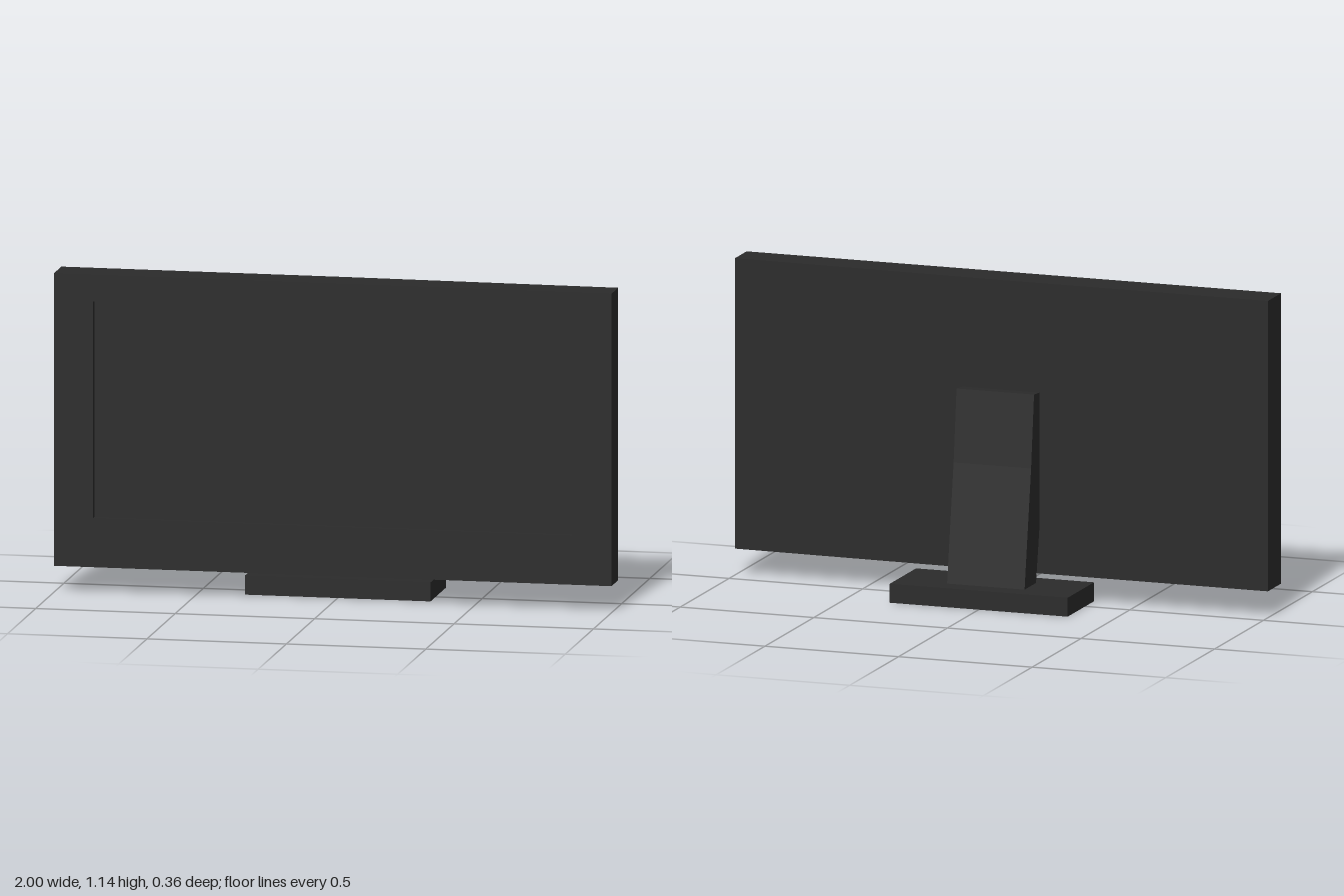
import * as THREE from 'three';

const material = new THREE.MeshStandardMaterial({ color: 0x2b2b2b, flatShading: true });

function part(name, geometry) {
  const mesh = new THREE.Mesh(geometry, material);
  mesh.name = name;
  return mesh;
}

function boxBetween(x, y0, y1, z0, z1, segments = 1) {
  return new THREE.BoxGeometry(2 * x, y1 - y0, z1 - z0, segments, 1, 1)
    .translate(0, (y0 + y1) / 2, (z0 + z1) / 2);
}

function rectangle(PathType, x, y0, y1) {
  return new PathType([[-x, y0], [x, y0], [x, y1], [-x, y1]].map(p => new THREE.Vector2(...p)));
}

export function createModel() {
  const model = new THREE.Group();
  model.name = 'monitor';

  const bottom = 0.095, top = 1.14, front = 0.18, back = 0.045, screenZ = 0.15;

  // Housing: its front is the recessed screen, its back thins a little toward +x
  const housing = boxBetween(1, bottom, top, back, screenZ, 4);
  const pos = housing.attributes.position;
  for (let i = 0; i < pos.count; i++) {
    if (pos.getZ(i) < 0.1) pos.setZ(i, back + 0.015 * Math.max(0, pos.getX(i)));
  }
  housing.computeVertexNormals();
  model.add(part('screenHousing', housing));

  // Bezel around the screen opening
  const outline = rectangle(THREE.Shape, 1, bottom, top);
  outline.holes.push(rectangle(THREE.Path, 0.86, 0.27, 1.045));
  const bezel = new THREE.ExtrudeGeometry(outline, { depth: front - screenZ, bevelEnabled: false });
  model.add(part('bezel', bezel.translate(0, 0, screenZ)));

  // Leaning neck, a side profile of [z, y] points extruded across x
  const halfNeck = 0.145;
  const profile = new THREE.Shape([
    [0.01, 0.065], [0.056, 0.32], [0.056, 0.745], [-0.01, 0.75], [-0.04, 0.49], [-0.107, 0.065],
  ].map(p => new THREE.Vector2(...p)));
  const neck = new THREE.ExtrudeGeometry(profile, { depth: 2 * halfNeck, bevelEnabled: false });
  model.add(part('standNeck', neck.translate(0, 0, -halfNeck).rotateY(-Math.PI / 2)));

  // Foot plate
  model.add(part('standBase', boxBetween(0.333, 0, 0.068, -0.18, 0.09)));

  return model;
}
